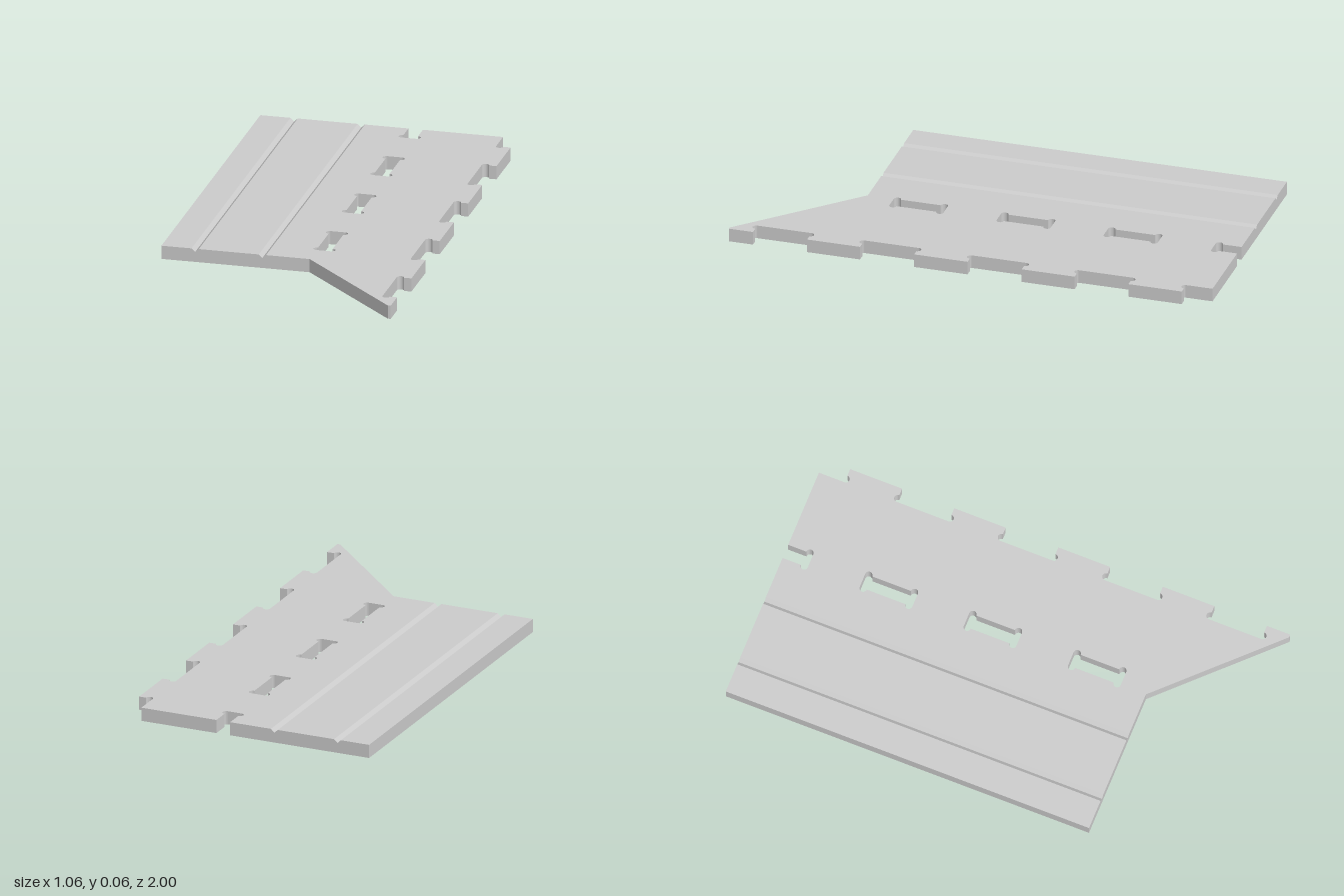
import * as THREE from 'three';

const T = 0.056;               // plate thickness
const W = 0.53;                // half width
const BACK = -1, FRONT = 0.56; // ends of the straight body
const SEAM = 0;                // where grooved and slotted halves meet
const R = 0.015;               // corner relief radius
const HALF = Math.PI / 2;
const SLOT = [0.08, 0.14];     // slot sides in x
const NOTCH = 0.47;            // notch floor in x

const material = new THREE.MeshStandardMaterial({ color: 0xcccccc, flatShading: true });

// Removes the hidden wall between the two halves so that they form one skin.
function openSeam(geometry) {
  const p = geometry.attributes.position;
  const kept = [];
  for (let i = 0; i < p.count; i += 3) {
    const onSeam = [0, 1, 2].every((k) => Math.abs(p.getX(i + k) - SEAM) < 1e-5);
    if (onSeam) continue;
    for (let k = 0; k < 3; k++) kept.push(p.getX(i + k), p.getY(i + k), p.getZ(i + k));
  }
  const open = new THREE.BufferGeometry();
  open.setAttribute('position', new THREE.Float32BufferAttribute(kept, 3));
  open.computeVertexNormals();
  return open;
}

// Closed slot with rounded ears at its four corners.
function slotPath(z0, z1) {
  const [a, b] = SLOT;
  const path = new THREE.Path();
  path.moveTo(a, z0);
  path.lineTo(b, z0);
  path.absarc(b, z0 + R, R, -HALF, HALF, false);
  path.absarc(b, z1 - R, R, -HALF, HALF, false);
  path.lineTo(a, z1);
  path.absarc(a, z1 - R, R, HALF, 3 * HALF, false);
  path.absarc(a, z0 + R, R, HALF, 3 * HALF, false);
  return path;
}

// Left half: cross-section with two V grooves, swept from back to front.
function groovedHalf() {
  const s = new THREE.Shape();
  s.moveTo(-W, 0);
  s.lineTo(SEAM, 0);
  s.lineTo(SEAM, T);
  for (const x of [-0.114, -0.391]) {
    s.lineTo(x + 0.015, T);
    s.lineTo(x, T - 0.014);
    s.lineTo(x - 0.015, T);
  }
  s.lineTo(-W, T);
  const g = new THREE.ExtrudeGeometry(s, { depth: FRONT - BACK, bevelEnabled: false });
  return openSeam(g.translate(0, 0, BACK));
}

// Right half: plan outline (x, z) with toothed edge, pointed corner and slots.
function toothedHalf() {
  const s = new THREE.Shape();
  const [a, b] = SLOT, end = -0.892;
  s.moveTo(SEAM, BACK);
  // slot left open at the back edge
  s.lineTo(a, BACK);
  s.absarc(a, end - R, R, -HALF, HALF, true);
  s.lineTo(b, end);
  s.absarc(b, end - R, R, HALF, -HALF, true);
  s.lineTo(b, BACK);
  // notches with relieved corners between the teeth
  s.lineTo(NOTCH, BACK);
  const notches = [[BACK, -0.89], [-0.667, -0.443], [-0.222, 0.004], [0.227, 0.453], [0.674, 0.9]];
  notches.forEach(([z0, z1], i) => {
    if (i > 0) {
      s.lineTo(W, z0);
      s.absarc(NOTCH + R, z0, R, 0, Math.PI, true);
    }
    s.absarc(NOTCH + R, z1, R, Math.PI, 0, true);
    s.lineTo(W, z1);
  });
  // pointed front corner
  s.lineTo(W, 1);
  s.lineTo(0.518, 1);
  s.lineTo(0.081, FRONT);
  s.lineTo(SEAM, FRONT);
  for (const z of [-0.669, -0.222, 0.226]) s.holes.push(slotPath(z, z + 0.226));
  const g = new THREE.ExtrudeGeometry(s, { depth: T, bevelEnabled: false, curveSegments: 10 });
  return openSeam(g.rotateX(HALF).translate(0, T, 0));
}

export function createModel() {
  const group = new THREE.Group();
  group.name = 'slottedPanel';
  const parts = { groovedHalf: groovedHalf(), toothedHalf: toothedHalf() };
  for (const [name, geometry] of Object.entries(parts)) {
    const mesh = new THREE.Mesh(geometry, material);
    mesh.name = name;
    group.add(mesh);
  }
  return group;
}
